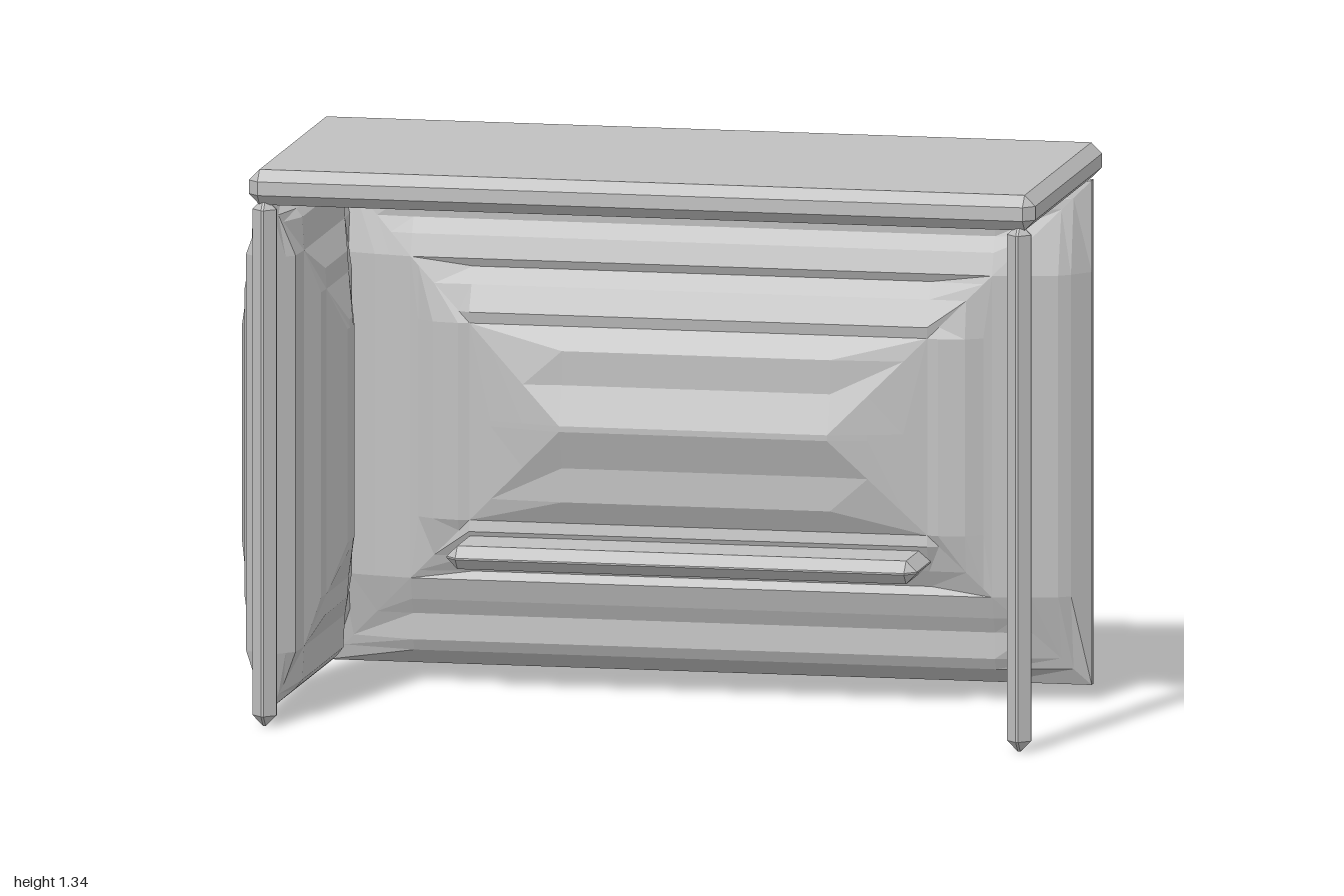
import * as THREE from 'three';
import { ConvexGeometry } from 'three/addons/geometries/ConvexGeometry.js';

// Box with every edge chamfered by b, given by its min and max corners
function chamferBox(min, max, b) {
  const c = min.map((v, i) => (v + max[i]) / 2);
  const h = min.map((v, i) => (max[i] - v) / 2);
  const pts = [];
  for (let axis = 0; axis < 3; axis++)
    for (const sx of [-1, 1]) for (const sy of [-1, 1]) for (const sz of [-1, 1]) {
      const s = [sx, sy, sz];
      pts.push(new THREE.Vector3(...c.map((v, i) => v + s[i] * (i === axis ? h[i] : h[i] - b))));
    }
  return new ConvexGeometry(pts);
}

// Raised panel bulging on both faces: concentric terraced rings.
// rows: [inset, height along top/bottom, height along sides]
// stages: insets where the ridged edges meet the plain corner facets again
function panelGeometry(hx, hy, rows, stages) {
  const heightAt = (d) => rows.find((r) => r[0] === d)[1];
  function ring([d, hTop, hSide], sign) {
    const n = Math.max(1, stages.findIndex((s) => s >= d));
    const s0 = stages[n - 1], s1 = stages[n];
    const hCorner = THREE.MathUtils.lerp(heightAt(s0), heightAt(s1), (d - s0) / (s1 - s0));
    const x = hx - d, y = hy - d, xi = hx - s1, yi = hy - s1;
    const side = (sx, sy) => [sx * x, sy * yi, sign * hSide];
    const corner = (sx, sy) => [sx * x, sy * y, sign * hCorner];
    const top = (sx, sy) => [sx * xi, sy * y, sign * hTop];
    return [
      side(1, 1), corner(1, 1), top(1, 1), top(-1, 1), corner(-1, 1), side(-1, 1),
      side(-1, -1), corner(-1, -1), top(-1, -1), top(1, -1), corner(1, -1), side(1, -1),
    ];
  }
  const rings = [...[...rows].reverse().map((r) => ring(r, -1)), ...rows.map((r) => ring(r, 1))];
  const pos = [];
  const tri = (a, b, c) => pos.push(...a, ...b, ...c);
  const N = 12, last = rings.length - 1, peak = rows[rows.length - 1][1];
  for (let k = 0; k < N; k++) {
    const m = (k + 1) % N;
    for (let i = 0; i < last; i++) {
      const a = rings[i][k], b = rings[i][m], c = rings[i + 1][m], d = rings[i + 1][k];
      tri(a, b, c);
      tri(a, c, d);
    }
    tri([0, 0, peak], rings[last][k], rings[last][m]);
    tri([0, 0, -peak], rings[0][m], rings[0][k]);
  }
  const g = new THREE.BufferGeometry();
  g.setAttribute('position', new THREE.Float32BufferAttribute(pos, 3));
  g.computeVertexNormals();
  return g;
}

export function createModel() {
  const desk = new THREE.Group();
  desk.name = 'desk';
  const grey = new THREE.MeshStandardMaterial({ color: 0xc0c0c0, flatShading: true });
  grey.name = 'plain grey';

  function add(name, geometry, x = 0, y = 0, z = 0) {
    const mesh = new THREE.Mesh(geometry, grey);
    mesh.name = name;
    mesh.position.set(x, y, z);
    desk.add(mesh);
    return mesh;
  }

  // Table top
  add('tableTop', chamferBox([-0.907, 1.26, -0.33], [1, 1.345, 0.505], 0.026));

  // Two slim front legs with pointed feet
  for (const [name, x] of [['rightLeg', -0.87], ['leftLeg', 0.96]])
    add(name, chamferBox([x - 0.029, 0.005, 0.444], [x + 0.029, 1.275, 0.502], 0.026));

  // Back panel
  const backRows = [
    [0, 0.01, 0.01], [0.04, 0.07, 0.06], [0.067, 0.084, 0.08], [0.13, 0.08, 0.097],
    [0.167, 0.098, 0.104], [0.22, 0.115, 0.115], [0.24, 0.105, 0.122], [0.28, 0.126, 0.145],
    [0.343, 0.155, 0.155], [0.37, 0.15, 0.15], [0.425, 0.18, 0.168], [0.507, 0.18, 0.192],
    [0.6, 0.215, 0.215],
  ];
  add('backPanel', panelGeometry(0.925, 0.607, backRows, [0, 0.22, 0.37, 0.6]), 0.055, 0.65, -0.29);

  // Side panel on the model's right
  const sideRows = [
    [0, 0.01, 0.01], [0.03, 0.045, 0.04], [0.05, 0.06, 0.06], [0.13, 0.064, 0.064],
    [0.19, 0.093, 0.093], [0.24, 0.096, 0.096], [0.33, 0.128, 0.128], [0.35, 0.13, 0.13],
  ];
  add('sidePanel', panelGeometry(0.37, 0.607, sideRows, [0, 0.13, 0.24, 0.35]), -0.87, 0.65, 0.08)
    .rotation.y = Math.PI / 2;

  // Foot rest along the back panel
  add('footRest', chamferBox([-0.525, 0.319, -0.25], [0.615, 0.375, 0.033], 0.026));

  return desk;
}
